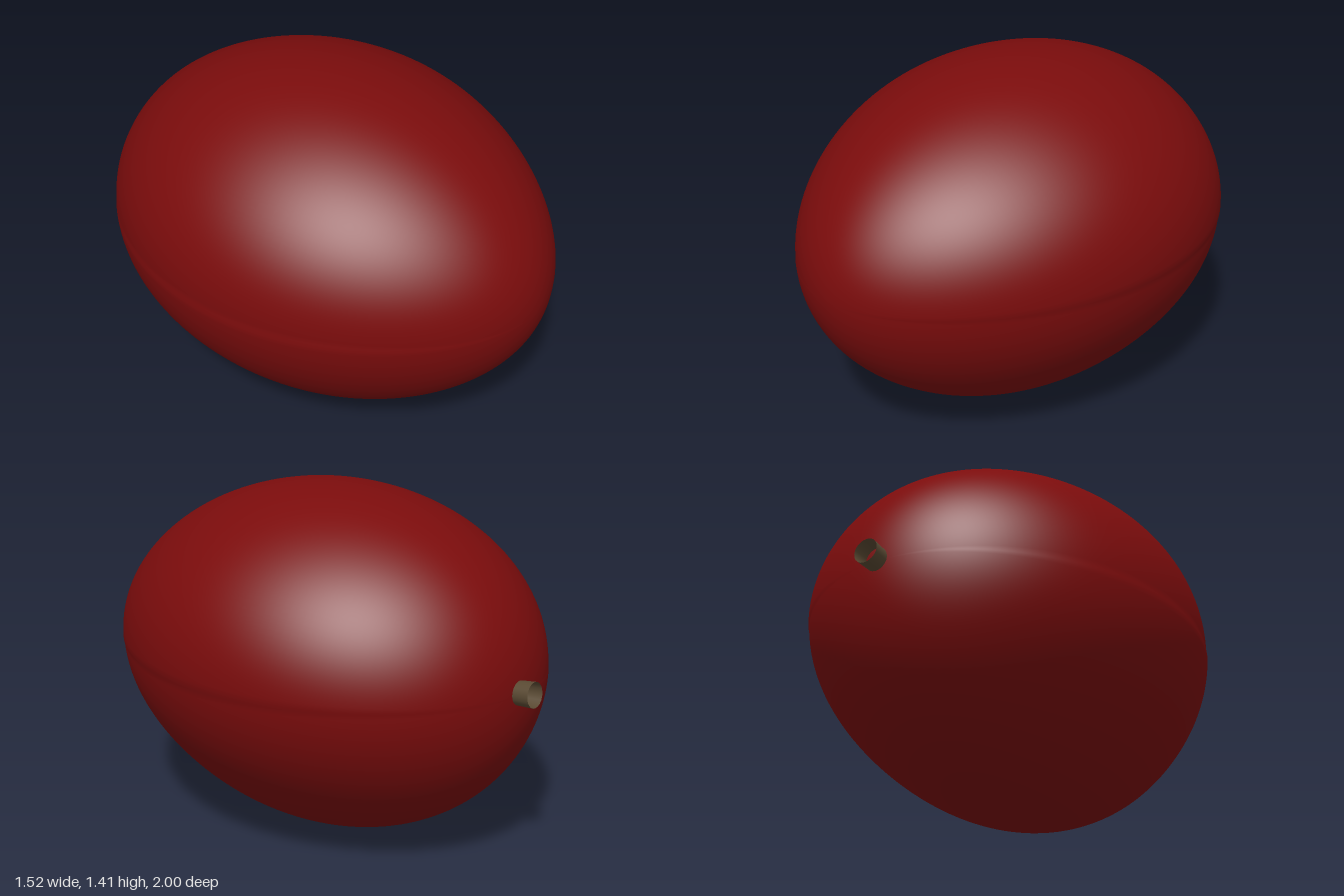
import * as THREE from 'three';
import { mergeVertices } from 'three/addons/utils/BufferGeometryUtils.js';

const CENTER_Y = 0.72;
const SEAM = 0.008; // half-angle of the seam strip

// Radius of the lopsided cross-section; the bumps fade to a circle at the tips
function sectionRadius(a, bump) {
  return 0.72 + bump * (0.002 * Math.cos(a) + 0.0253 * Math.cos(2 * a) + 0.002 * Math.cos(3 * a)
    + 0.0165 * Math.sin(3 * a) + 0.0096 * Math.cos(4 * a));
}

// Angles round the section, with close pairs on either side of the seam
function sectionAngles(perHalf) {
  const angles = [];
  for (const start of [0, Math.PI]) {
    for (let j = 0; j <= perHalf; j++) {
      angles.push(start + SEAM + (j / perHalf) * (Math.PI - 2 * SEAM));
    }
  }
  return angles;
}

// Lofted body: sections from the slightly pointed front tip to the rounder back
function bodyGeometry(perHalf = 90, along = 90) {
  const angles = sectionAngles(perHalf);
  const around = angles.length;
  const positions = [], index = [];
  for (let i = 0; i <= along; i++) {
    const phi = (i / along) * Math.PI;
    const t = Math.cos(phi);
    const end = i === 0 || i === along;
    const s = end ? 0 : Math.sin(phi) * (t > 0 ? 1 - 0.09 * t * t : 1);
    for (const a of angles) {
      const r = s * sectionRadius(a, Math.sin(phi));
      // the upper half sits a hair to one side of the lower, which forms the seam
      const step = a < Math.PI ? 0.003 : -0.003;
      const x = r * Math.cos(a), y = r * Math.sin(a);
      positions.push(
        x + step * s,
        CENTER_Y + y,
        (t > 0 ? t : 0.93 * t) - 0.015 * (x - y + 0.5 * s));
    }
  }
  for (let i = 0; i < along; i++) {
    for (let j = 0; j < around; j++) {
      const k = (j + 1) % around;
      const a = i * around + j, b = a + around;
      const d = i * around + k, c = d + around;
      if (i < along - 1) index.push(a, b, c);
      if (i > 0) index.push(a, c, d);
    }
  }
  let geometry = new THREE.BufferGeometry();
  geometry.setAttribute('position', new THREE.Float32BufferAttribute(positions, 3));
  geometry.setIndex(index);
  geometry = mergeVertices(geometry, 1e-5);
  geometry.computeVertexNormals();
  return geometry;
}

export function createModel() {
  const skin = new THREE.MeshStandardMaterial({ color: 0x7b0c0c });
  skin.name = 'dark red skin';
  const bark = new THREE.MeshStandardMaterial({ color: 0x5a4a33, side: THREE.DoubleSide });
  bark.name = 'brown stem';

  const group = new THREE.Group();
  group.name = 'fruit';

  const body = new THREE.Mesh(bodyGeometry(), skin);
  body.name = 'body';
  group.add(body);

  // Short hollow stem at the back, tilted slightly
  const stem = new THREE.Mesh(new THREE.CylinderGeometry(0.05, 0.046, 0.1, 20, 1, true), bark);
  stem.name = 'stem';
  stem.rotation.x = -Math.PI / 2 + 0.08;
  stem.position.set(0.018, 0.73, -0.946);
  group.add(stem);

  return group;
}
